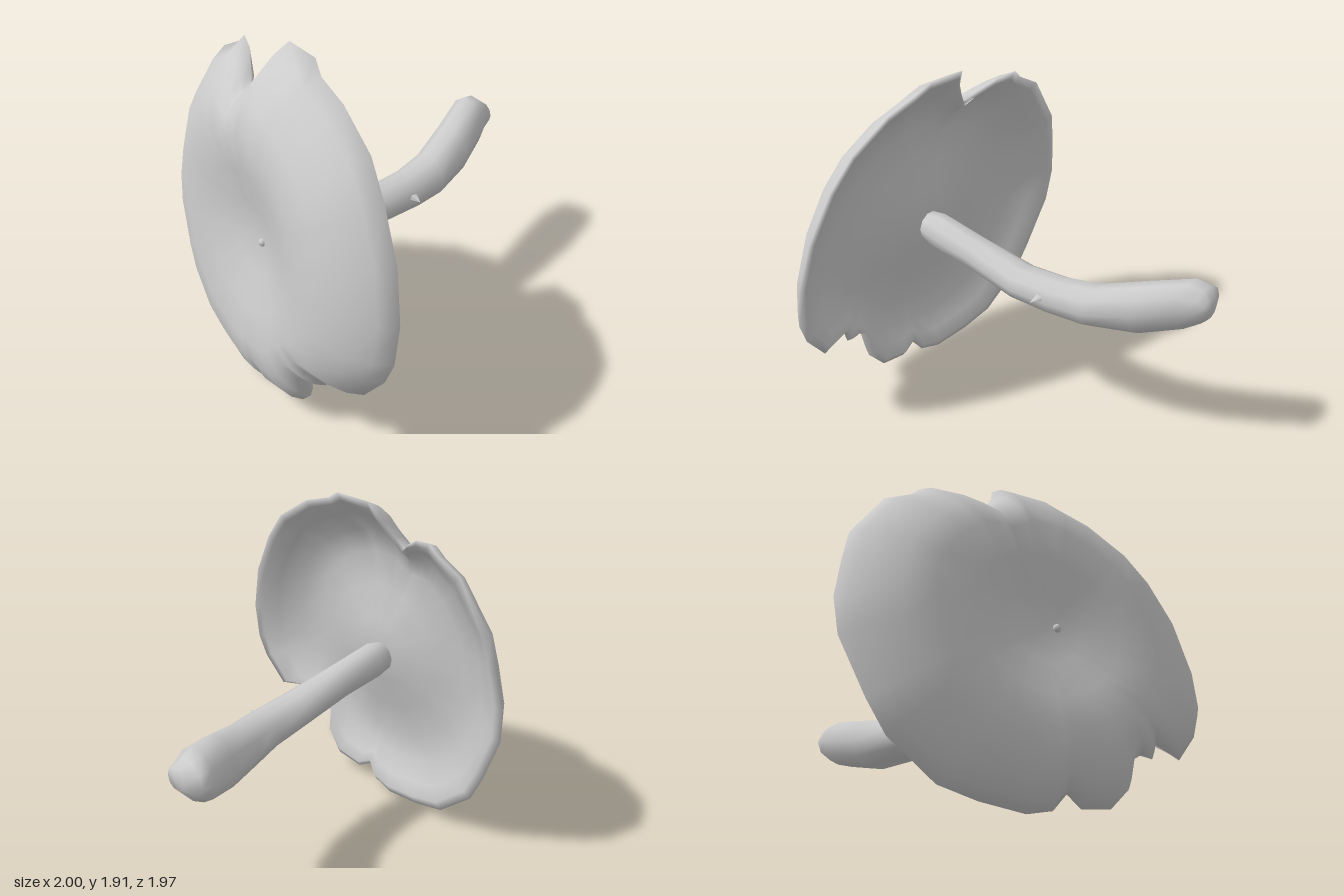
import * as THREE from 'three';
import { mergeVertices } from 'three/addons/utils/BufferGeometryUtils.js';

const material = new THREE.MeshStandardMaterial({ color: 0xcccccc, side: THREE.DoubleSide });

// Skin a list of rings (arrays of [x, y, z], counter-clockwise seen from +z)
function loft(rings) {
  const n = rings[0].length;
  const index = [];
  for (let i = 0; i < rings.length - 1; i++) {
    for (let j = 0; j < n; j++) {
      const k = (j + 1) % n;
      const a = i * n + j, b = (i + 1) * n + j, c = (i + 1) * n + k, d = i * n + k;
      index.push(a, b, c, a, c, d);
    }
  }
  let geo = new THREE.BufferGeometry();
  geo.setAttribute('position', new THREE.Float32BufferAttribute(rings.flat(2), 3));
  geo.setIndex(index);
  geo = mergeVertices(geo, 1e-4);
  geo.computeVertexNormals();
  return geo;
}

function addPart(group, name, geo) {
  const mesh = new THREE.Mesh(geo, material);
  mesh.name = name;
  group.add(mesh);
  return mesh;
}

// Ragged outline of the cap, with its tears and the bite at the lower left
const OUTLINE = [
  [1, 0.95], [0.93, 1.22], [0.79, 1.48], [0.65, 1.65], [0.41, 1.8], [0.22, 1.86],
  [0.13, 1.915], [-0.1, 1.915], [-0.14, 1.81], [-0.2, 1.72], [-0.245, 1.65], [-0.3, 1.7],
  [-0.42, 1.77], [-0.53, 1.79], [-0.58, 1.74], [-0.73, 1.66], [-0.92, 1.38], [-0.96, 1.2],
  [-1, 0.97], [-0.98, 0.76], [-0.85, 0.45], [-0.76, 0.28], [-0.53, 0.08], [-0.33, 0.03],
  [-0.1, 0], [0.03, 0.03], [0.09, 0.11], [0.18, 0.06], [0.35, 0.09], [0.45, 0.2],
  [0.46, 0.34], [0.52, 0.38], [0.6, 0.38], [0.61, 0.46], [0.82, 0.44], [0.95, 0.6], [1, 0.73],
];

// Per ring: distance from centre, central dip, curl towards the rim, shell thickness
const PROFILE = [
  [0, 0.1, 0, 0.08], [0.2, 0.08, 0, 0.08], [0.4, 0.03, 0, 0.08], [0.6, 0, 0.02, 0.08],
  [0.75, 0, 0.15, 0.08], [0.87, 0, 0.42, 0.09], [0.95, 0, 0.7, 0.08], [1, 0, 1, 0],
];

function capRing([t, dip, curl, thickness], back) {
  const cy = 0.95, smooth = 0.98;
  return OUTLINE.map(([ox, oy]) => {
    const r = Math.hypot(ox, oy - cy);
    // inner rings are round, outer rings take on the ragged outline
    const s = t * THREE.MathUtils.lerp(smooth, r, t * t) / r;
    const x = ox * s, y = cy + (oy - cy) * s;
    const face = 1.01 - 0.085 * y + 0.02 * x - dip;
    const rim = 0.8 - 0.15 * oy + 0.5 * Math.max(0, smooth - r);
    return [x, y, THREE.MathUtils.lerp(face, rim, curl) - (back ? thickness : 0)];
  });
}

// Stem stations: z, centre x, centre y, half width, half height
const STEM = [
  [0.8, -0.03, 0.92, 0, 0], [0.8, -0.03, 0.92, 0.07, 0.08], [0.66, -0.03, 0.91, 0.095, 0.11],
  [0.4, -0.04, 0.875, 0.097, 0.1], [0.04, -0.055, 0.815, 0.12, 0.097],
  [-0.2, -0.095, 0.805, 0.125, 0.107], [-0.4, -0.155, 0.803, 0.138, 0.12],
  [-0.65, -0.265, 0.845, 0.147, 0.152], [-0.86, -0.375, 0.905, 0.145, 0.143],
  [-0.94, -0.405, 0.92, 0.12, 0.105], [-0.985, -0.37, 0.925, 0.065, 0.06],
  [-0.99, -0.37, 0.925, 0, 0],
];

function stemRing([z, x, y, w, h]) {
  return Array.from({ length: 10 }, (_, i) => {
    const a = (i / 10) * Math.PI * 2;
    return [x + Math.cos(a) * w, y + Math.sin(a) * h, z];
  });
}

export function createModel() {
  const group = new THREE.Group();
  group.name = 'mushroom';

  // Cap: front skin out to the rim, then back along the hollow underside
  const front = PROFILE.map((p) => capRing(p, false));
  const back = PROFILE.slice(0, -1).reverse().map((p) => capRing(p, true));
  addPart(group, 'cap', loft([...front, ...back]));

  // Small bump in the middle of the cap
  const bump = addPart(group, 'capBump', new THREE.SphereGeometry(0.022, 8, 6));
  bump.position.set(0.08, 0.965, 0.84);

  // Curved stem with a swollen foot
  addPart(group, 'stem', loft(STEM.map(stemRing)));

  // Torn sliver on the side of the stem
  const sliver = addPart(group, 'stemSliver', new THREE.ConeGeometry(0.05, 0.1, 5));
  sliver.scale.set(0.6, 1, 1);
  sliver.rotation.z = -Math.PI / 2;
  sliver.position.set(0.04, 0.825, -0.15);

  return group;
}
